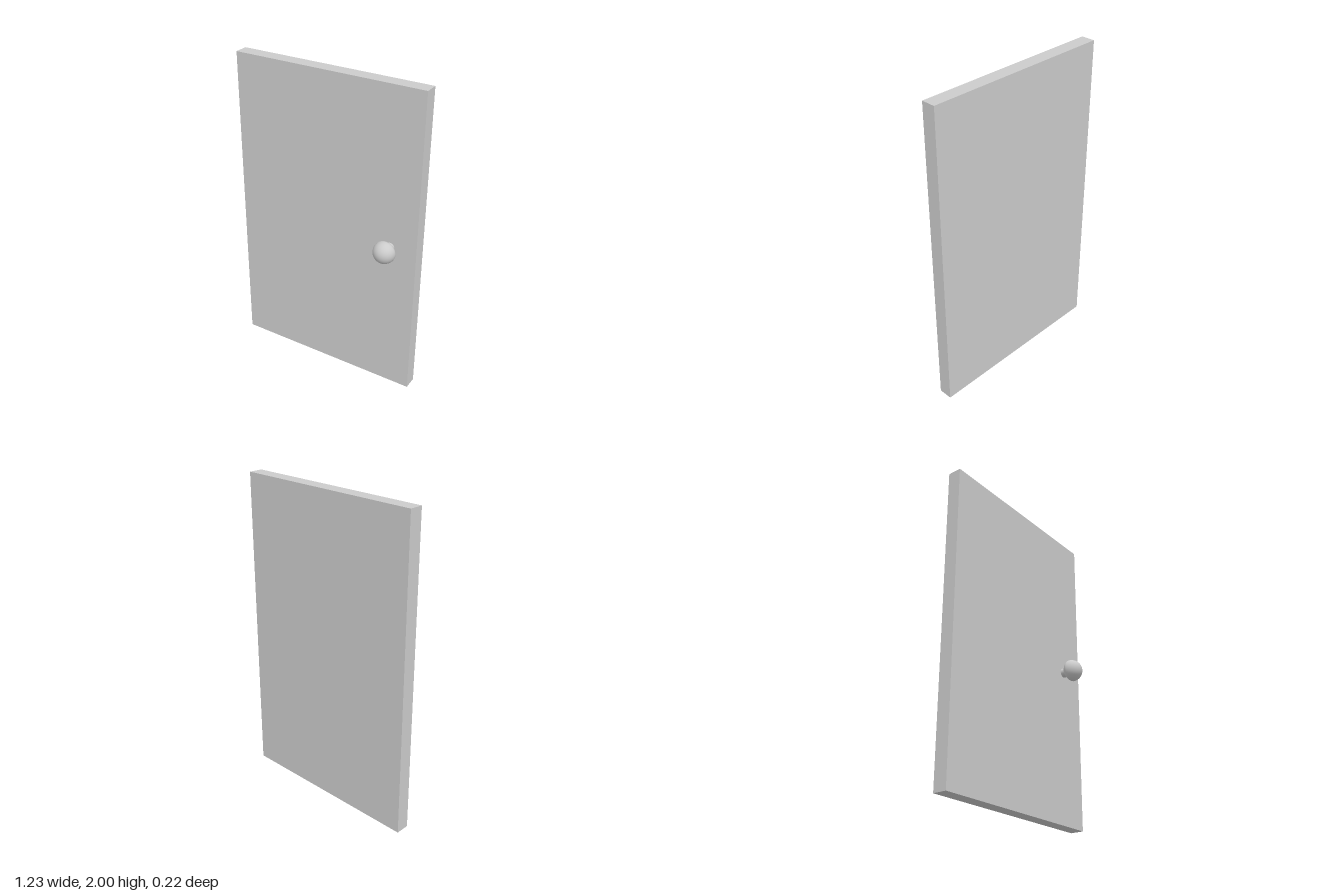
import * as THREE from 'three';

export function createModel() {
  const group = new THREE.Group();
  const material = new THREE.MeshStandardMaterial({ color: 0xcccccc });
  const add = (name, geometry, x, y, z) => {
    const mesh = new THREE.Mesh(geometry, material);
    mesh.name = name;
    mesh.position.set(x, y, z);
    group.add(mesh);
    return mesh;
  };

  // Plain slab
  add('doorPanel', new THREE.BoxGeometry(1.234, 2, 0.088), 0, 1, -0.068);

  // Short round shaft between panel and knob
  const neck = new THREE.CylinderGeometry(0.03, 0.03, 0.036, 32);
  neck.rotateX(Math.PI / 2);
  add('knobNeck', neck, 0.444, 1.002, -0.01);

  // Knob: tapered back, then a domed front
  const profile = [[0, 0], [0.03, 0], [0.045, 0.01], [0.058, 0.021], [0.068, 0.033]]
    .map(([r, h]) => new THREE.Vector2(r, h));
  const steps = 14;
  for (let i = 0; i <= steps; i++) {
    const a = (i / steps) * Math.PI / 2;
    profile.push(new THREE.Vector2(0.07 * Math.cos(a), 0.041 + 0.071 * Math.sin(a)));
  }
  profile[profile.length - 1].x = 0;
  const knob = new THREE.LatheGeometry(profile, 40);
  knob.rotateX(Math.PI / 2);
  add('knob', knob, 0.444, 1.002, 0);

  return group;
}
